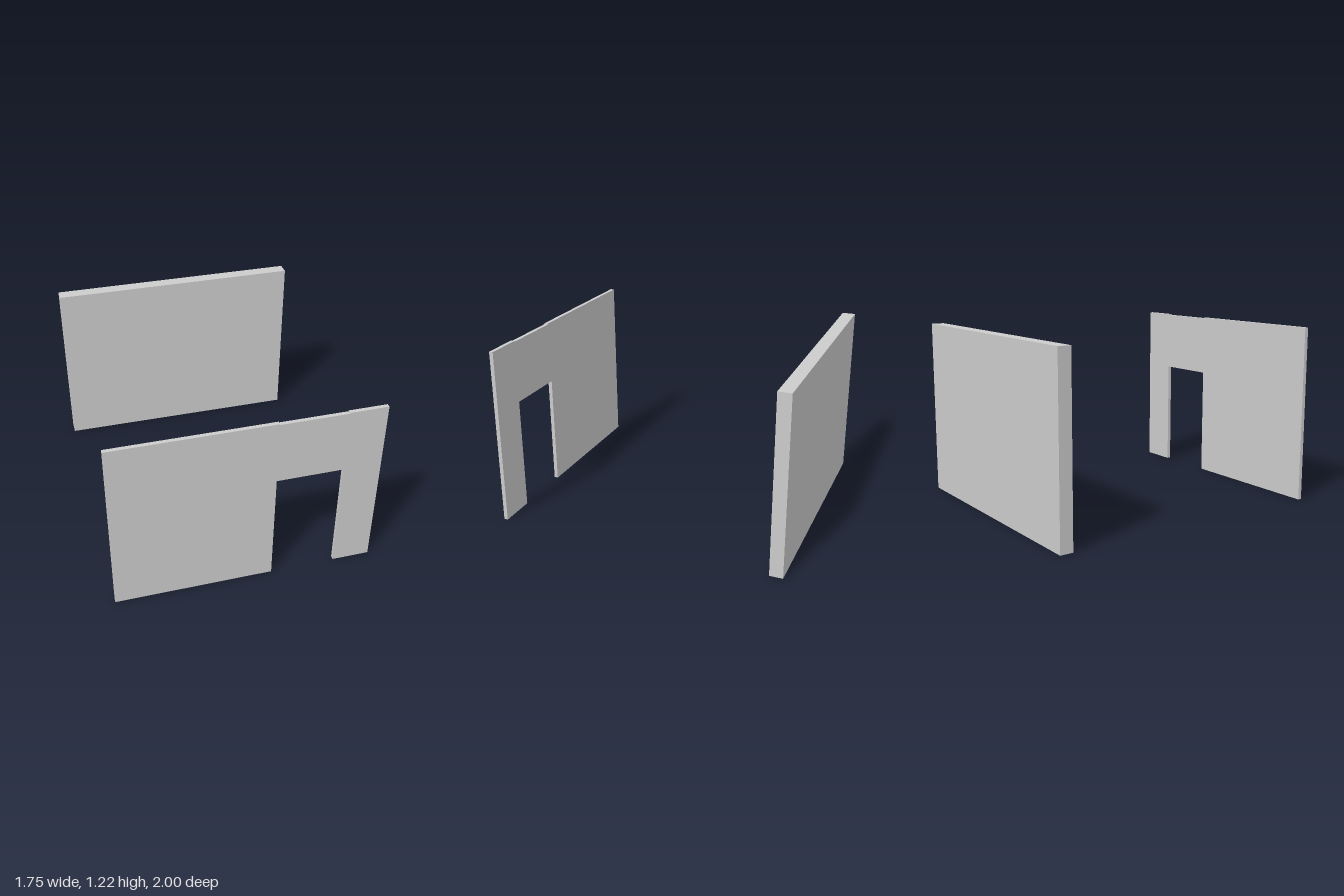
import * as THREE from 'three';

const WIDTH = 1.75, HEIGHT = 1.22;

export function createModel() {
  const group = new THREE.Group();
  const material = new THREE.MeshStandardMaterial({ color: 0xcccccc, flatShading: true });

  // Thick solid wall at the back
  const backDepth = 0.09;
  const backWall = new THREE.Mesh(new THREE.BoxGeometry(WIDTH, HEIGHT, backDepth), material);
  backWall.name = 'backWall';
  backWall.position.set(0, HEIGHT / 2, -1 + backDepth / 2);
  group.add(backWall);

  // Thin front wall with a doorway; the lintel sits slightly lower than the wall top
  const frontDepth = 0.027, doorLeft = 0.18, doorRight = 0.62, doorTop = 0.785, lintelTop = 1.214;
  const half = WIDTH / 2;
  const outline = new THREE.Shape([
    [-half, 0], [doorLeft, 0], [doorLeft, doorTop], [doorRight, doorTop], [doorRight, 0], [half, 0],
    [half, HEIGHT], [doorRight, HEIGHT], [doorRight, lintelTop], [doorLeft, lintelTop],
    [doorLeft, HEIGHT], [-half, HEIGHT],
  ].map(([x, y]) => new THREE.Vector2(x, y)));
  const frontWall = new THREE.Mesh(
    new THREE.ExtrudeGeometry(outline, { depth: frontDepth, bevelEnabled: false }), material);
  frontWall.name = 'frontWallWithDoorway';
  frontWall.position.z = 1 - frontDepth;
  group.add(frontWall);

  return group;
}
